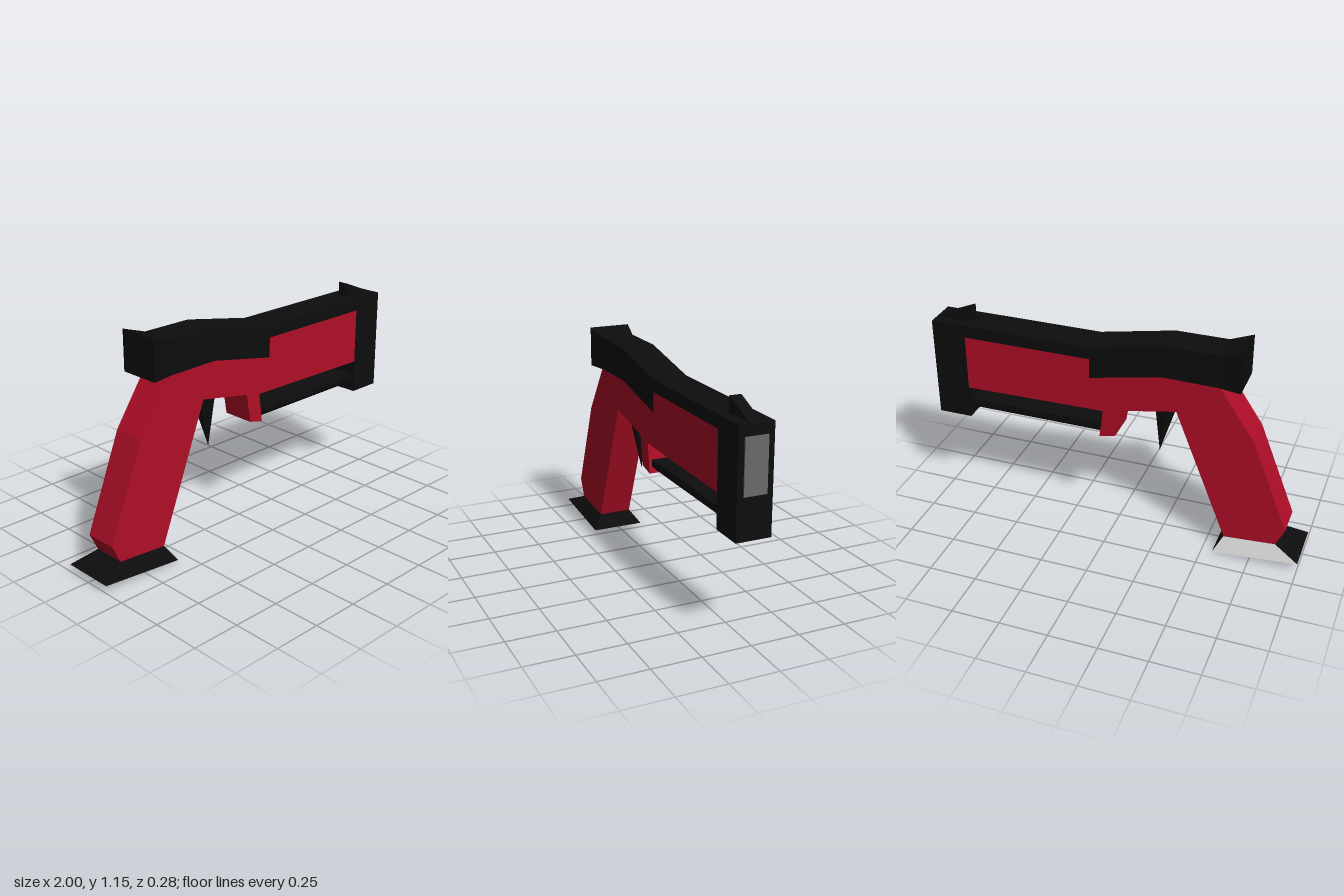
import * as THREE from 'three';
import { ConvexGeometry } from 'three/addons/geometries/ConvexGeometry.js';

const paint = (color) => new THREE.MeshStandardMaterial({ color, flatShading: true });

export function createModel() {
  const group = new THREE.Group();
  const red = paint(0xb00e27), black = paint(0x0d0d0d), grey = paint(0xcccccc), darkGrey = paint(0x6a6a6a);

  const add = (name, geometry, material) => {
    const mesh = new THREE.Mesh(geometry, material);
    mesh.name = name;
    group.add(mesh);
    return mesh;
  };
  // Side profile extruded evenly about z = 0
  const slab = (name, points, half, material) => {
    const shape = new THREE.Shape(points.map(([x, y]) => new THREE.Vector2(x, y)));
    const geometry = new THREE.ExtrudeGeometry(shape, { depth: half * 2, bevelEnabled: false });
    return add(name, geometry.translate(0, 0, -half), material);
  };
  // Convex block from [x, y, halfWidth] points mirrored across z
  const block = (name, points, material) => add(name, new ConvexGeometry(
    points.flatMap(([x, y, w]) => [new THREE.Vector3(x, y, w), new THREE.Vector3(x, y, -w)])), material);

  // Red frame: grip, trigger guard stub and barrel housing in one profile
  slab('gripAndFrame', [
    [-0.53, 0.96], [-0.72, 0.68], [-0.915, 0.19], [-0.87, 0.095], [-0.6, 0.075],
    [-0.325, 0.77], [-0.03, 0.715], [-0.005, 0.56], [0.08, 0.54], [0.06, 0.695],
    [0.82, 0.685], [0.82, 0.985], [0.1, 0.985], [-0.25, 1.0],
  ], 0.087, red);

  // Black top cover with the thin rail running forward
  slab('topCover', [
    [-0.53, 1.12], [-0.53, 0.946], [-0.25, 0.95], [0.13, 0.875], [0.13, 0.98],
    [0.82, 0.98], [0.82, 1.045], [0.13, 1.045], [-0.26, 1.12],
  ], 0.089, black);

  // Flared rear end of the cover
  block('rearFlare', [
    [-0.645, 1.155, 0.11], [-0.645, 0.945, 0.11], [-0.53, 1.12, 0.089], [-0.53, 0.946, 0.089],
  ], black);

  // Muzzle block, front sight and front plate
  slab('muzzleBlock', [[0.81, 0.51], [0.99, 0.51], [0.99, 1.045], [0.81, 1.045]], 0.089, black);
  slab('frontSight', [[0.795, 1.04], [0.99, 1.04], [0.795, 1.12]], 0.03, black);
  add('frontPlate', new THREE.BoxGeometry(0.02, 0.27, 0.116), darkGrey).position.set(0.987, 0.855, 0);

  // Rod under the barrel, with chamfered lower edges
  block('underRod', [0.06, 0.82].flatMap((x) => [[x, 0.61, 0.07], [x, 0.575, 0.07], [x, 0.55, 0.045]]), black);

  // Pointed trigger
  block('trigger', [
    [-0.31, 0.78, 0.035], [-0.25, 0.78, 0.06], [-0.2, 0.75, 0.035], [-0.218, 0.472, 0.001],
  ], black);

  // Flared foot of the grip, with a lighter slope on the back side
  const slope = [[-0.87, 0.095, 0.088], [-0.6, 0.075, 0.088], [-1, 0.04, 0.14], [-0.556, 0, 0.14]];
  block('gripFoot', slope, black);
  add('gripFootSlope', new ConvexGeometry(slope.flatMap(([x, y, w]) =>
    [0, 0.003].map((d) => new THREE.Vector3(x, y + d * 0.5, -w - d)))), grey);

  return group;
}
